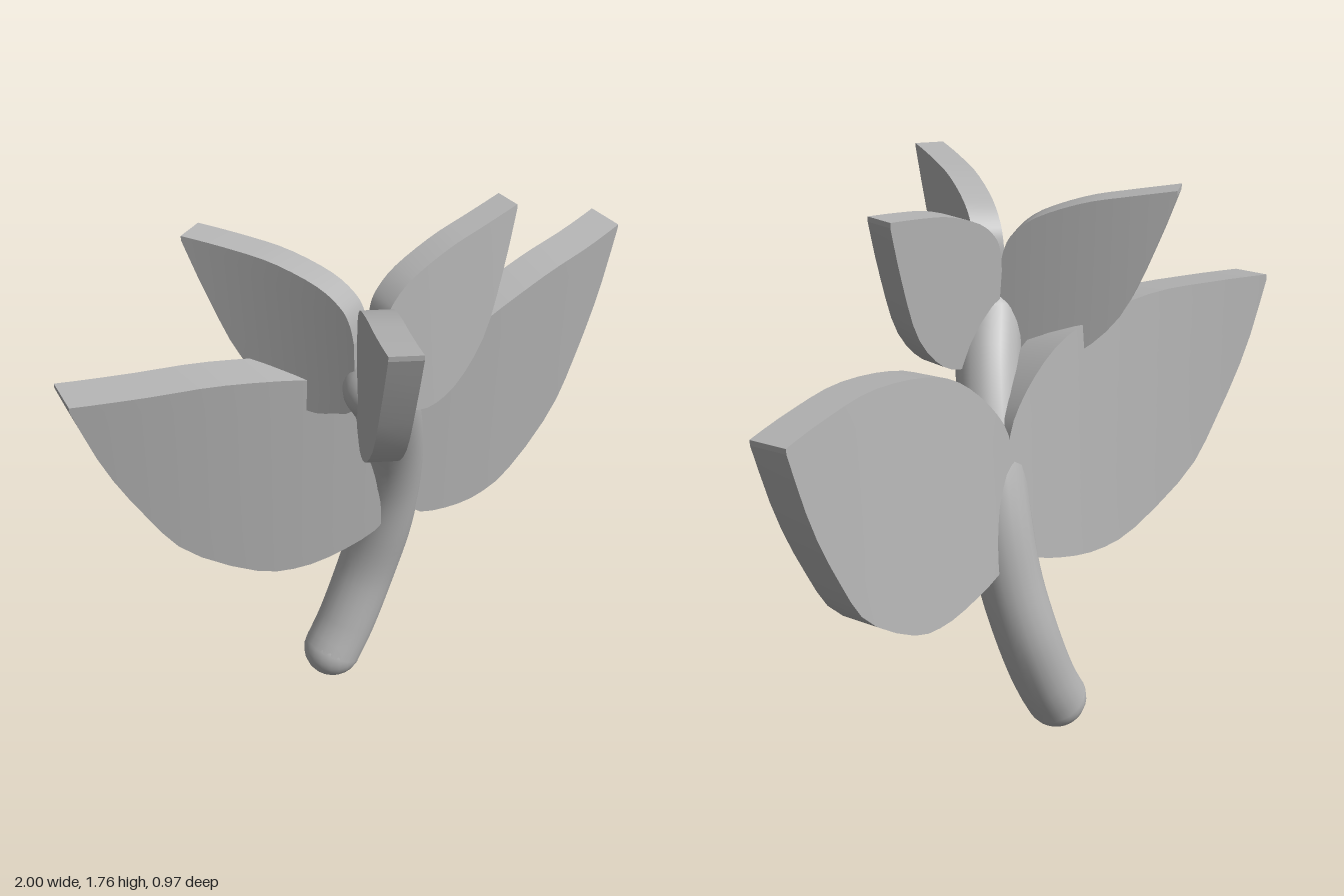
import * as THREE from 'three';

const grey = new THREE.MeshStandardMaterial({ color: 0xb4b4b4 });
grey.name = 'plain grey';

const curve = (pts) => new THREE.SplineCurve(pts.map(([x, y]) => new THREE.Vector2(x, y)));

// Thick bent leaf: a box stretched between a lower and an upper rim curve.
// bend(x, y) gives the depth of the front face, back is the offset to the rear face.
function leafGeometry({ top, bottom, bend, back }, side = 1) {
  const upper = curve(top), lower = curve(bottom);
  const geo = new THREE.BoxGeometry(1, 1, 1, 20, 6, 1);
  const pos = geo.attributes.position;
  for (let i = 0; i < pos.count; i++) {
    const t = pos.getX(i) + 0.5;
    const p = lower.getPoint(t).lerp(upper.getPoint(t), pos.getY(i) + 0.5);
    const rear = pos.getZ(i) < 0 ? 1 : 0;
    pos.setXYZ(i, side * (p.x + rear * back[0]), p.y + rear * back[1], bend(p.x, p.y) + rear * back[2]);
  }
  // a mirrored leaf needs its corner order reversed
  if (side < 0) geo.index.array.reverse();
  geo.computeVertexNormals();
  return geo;
}

const bigLeaf = {
  top: [[0, 1], [0.03, 1.1], [0.12, 1.21], [0.24, 1.3], [0.385, 1.35], [0.6, 1.385], [0.8, 1.387], [1, 1.385]],
  bottom: [[0.03, 0.75], [0.07, 0.66], [0.2, 0.61], [0.35, 0.59], [0.5, 0.625], [0.71, 0.77], [0.82, 0.935], [0.925, 1.145], [1, 1.37]],
  bend: (x, y) => -0.165 - 0.02 * x - 0.2 * x * x + 0.1 * (y - 1.2),
  back: [-0.012, 0.012, -0.127],
};

const petal = {
  top: [[0.025, 1.5], [0.035, 1.56], [0.06, 1.61], [0.13, 1.665], [0.265, 1.715], [0.4, 1.74], [0.535, 1.76]],
  bottom: [[0.03, 1.35], [0.05, 1.26], [0.1, 1.24], [0.185, 1.225], [0.29, 1.27], [0.4, 1.39], [0.48, 1.58], [0.535, 1.745]],
  bend: (x, y) => 0.05 - 0.19 * x * x - 0.04 * (y - 1.225),
  back: [0, 0, -0.092],
};

export function createModel() {
  const model = new THREE.Group();
  model.name = 'sprout';
  const add = (geo, name) => {
    const mesh = new THREE.Mesh(geo, grey);
    mesh.name = name;
    model.add(mesh);
    return mesh;
  };

  // curved stem with rounded ends
  const path = [
    [-0.2, 0.1, -0.35], [-0.14, 0.2, -0.35], [-0.055, 0.4, -0.343], [-0.01, 0.6, -0.308],
    [0, 0.8, -0.268], [-0.03, 1, -0.205], [-0.105, 1.2, -0.115], [-0.19, 1.335, -0.035],
  ].map((p) => new THREE.Vector3(...p));
  add(new THREE.TubeGeometry(new THREE.CatmullRomCurve3(path), 32, 0.1, 20), 'stem');
  [['stemFoot', path[0]], ['stemTip', path[path.length - 1]]].forEach(([name, p]) => {
    add(new THREE.SphereGeometry(0.1, 20, 14), name).position.copy(p);
  });

  // pair of large leaves
  add(leafGeometry(bigLeaf, 1), 'leftLeaf');
  add(leafGeometry(bigLeaf, -1), 'rightLeaf');

  // three petals around the tip
  for (let i = 0; i < 3; i++) {
    const mesh = add(leafGeometry(petal), 'petal' + (i + 1));
    mesh.position.set(-0.198, 0, -0.047);
    mesh.rotation.y = (-i * 2 * Math.PI) / 3;
  }
  return model;
}
